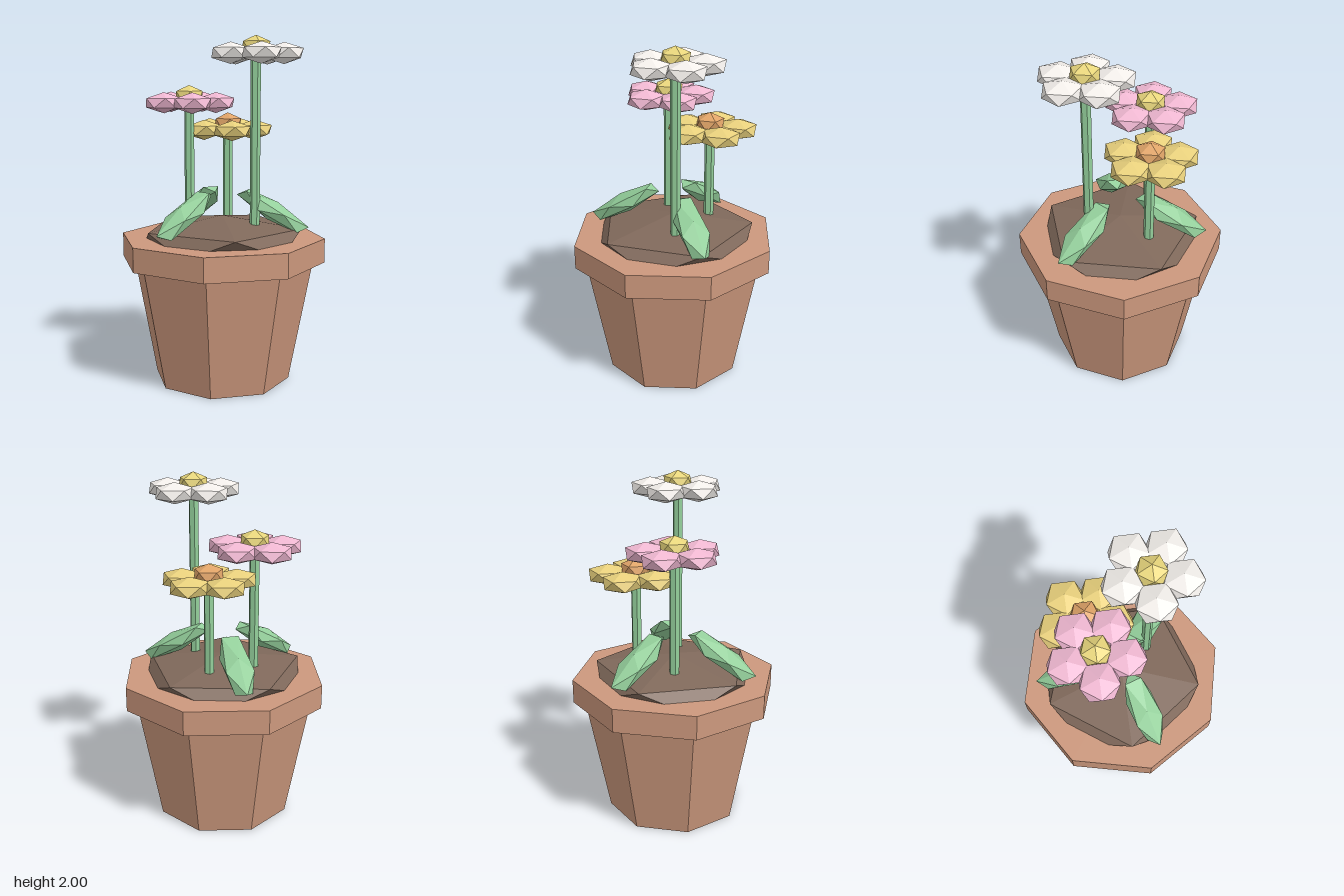
import * as THREE from 'three';

const mat = (color) => new THREE.MeshStandardMaterial({ color, flatShading: true });
const terracotta = mat(0xcc987d);
const earth = mat(0x80695b);
const green = mat(0x94cf9b);
const yellow = mat(0xe8d67c);

function add(parent, name, geometry, material, x = 0, y = 0, z = 0) {
  const mesh = new THREE.Mesh(geometry, material);
  mesh.name = name;
  mesh.position.set(x, y, z);
  parent.add(mesh);
  return mesh;
}

// Twenty-sided blob standing on a corner, with an upper ring corner towards +x
function blob(rx, ry, rz) {
  return new THREE.IcosahedronGeometry(1, 0)
    .rotateZ(-Math.atan(2 / (1 + Math.sqrt(5))))
    .scale(rx, ry, rz);
}

// Stem, five petals and a centre; top is the height of the flower's tip
function flower(name, x, z, top, petalColor, centreMaterial) {
  const group = new THREE.Group();
  group.name = name;
  group.position.set(x, 0, z);

  const base = 0.86;
  const height = top - 0.09 - base;
  const stem = new THREE.CylinderGeometry(0.029, 0.029, height, 6).rotateY(Math.PI / 6);
  add(group, 'stem', stem, green, 0, base + height / 2, 0);

  const petalMaterial = mat(petalColor);
  for (let i = 0; i < 5; i++) {
    const a = (i * Math.PI * 2) / 5;
    add(group, 'petal', blob(0.12, 0.06, 0.12), petalMaterial,
      Math.cos(a) * 0.158, top - 0.1, Math.sin(a) * 0.158);
  }
  add(group, 'flowerCentre', blob(0.09, 0.063, 0.09), centreMaterial, 0, top - 0.063, 0);
  return group;
}

export function createModel() {
  const model = new THREE.Group();
  model.name = 'pottedFlowers';

  // Eight-sided pot with a wider rim
  add(model, 'pot', new THREE.CylinderGeometry(0.55, 0.4, 0.8, 8), terracotta, 0, 0.4, 0);
  add(model, 'rim', new THREE.CylinderGeometry(0.6, 0.6, 0.14, 8), terracotta, 0, 0.78, 0);

  // Low mound of soil
  add(model, 'soil', blob(0.52, 0.125, 0.52), earth, 0, 0.848, 0);

  // Flowers
  model.add(flower('whiteFlower', 0.2, 0.06, 2.0, 0xf2eeea, yellow));
  model.add(flower('pinkFlower', -0.2, -0.04, 1.724, 0xf0b8d2, yellow));
  model.add(flower('yellowFlower', 0, -0.22, 1.56, 0xe8d07c, mat(0xe0a468)));

  // Leaves drooping outwards over the soil
  for (const angle of [0, 2.19, -2.19]) {
    const leaf = blob(0.254, 0.06, 0.094)
      .rotateZ(-0.53)
      .translate(0.297, 1.006, 0)
      .rotateY(-angle);
    add(model, 'leaf', leaf, green);
  }

  return model;
}
